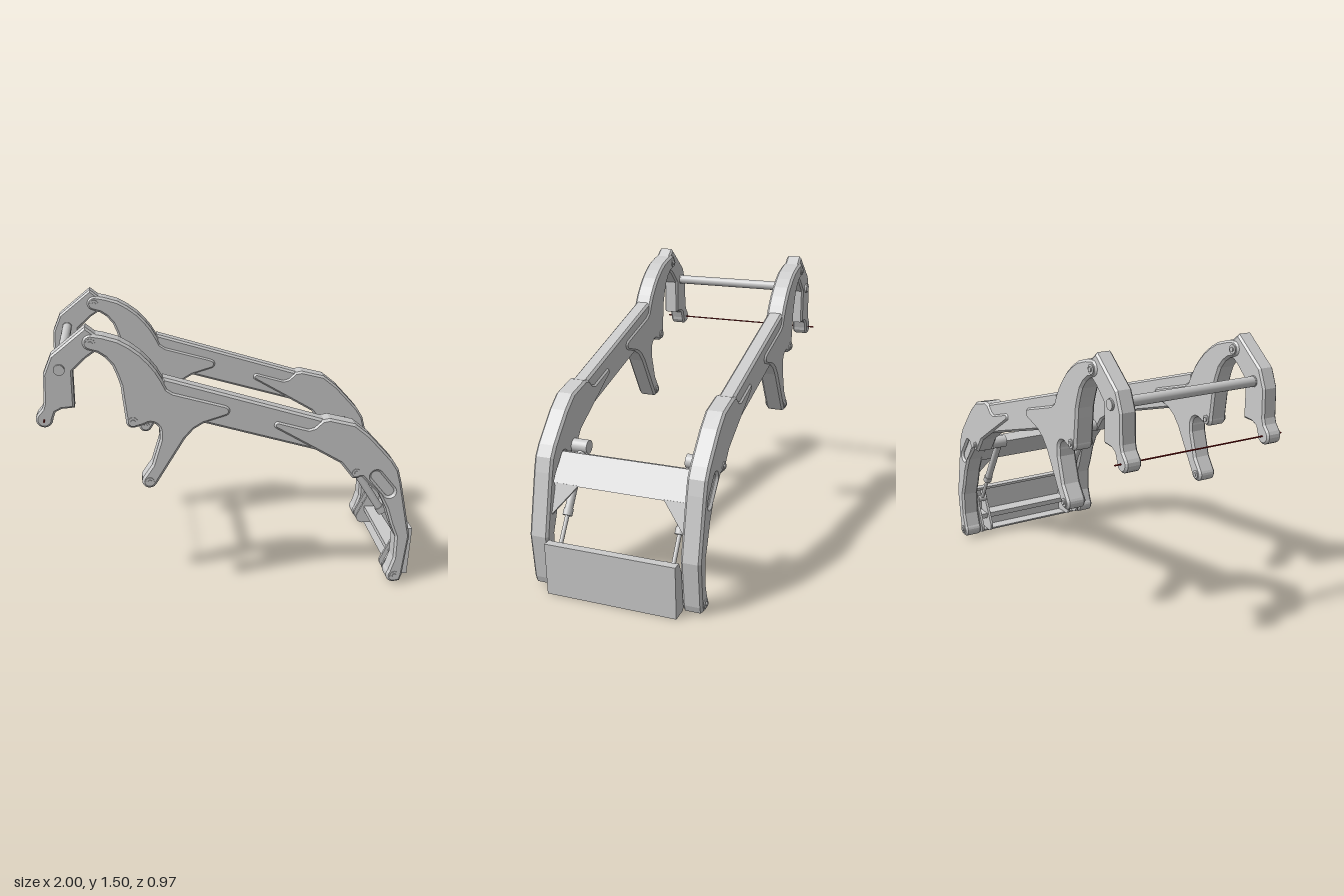
import * as THREE from 'three';

const grey = new THREE.MeshStandardMaterial({ color: 0xcccccc });
const red = new THREE.MeshStandardMaterial({ color: 0x8b1010 });
const ARM_Z = 0.408; // mid-plane of each side arm

// Outline entries are [x, y] corners or [cx, cy, r, startDeg, endDeg] arcs
function outline(entries) {
  const pts = [];
  for (const e of entries) {
    if (e.length === 2) { pts.push(new THREE.Vector2(e[0], e[1])); continue; }
    const [cx, cy, r, a0, a1] = e;
    for (let i = 0; i <= 10; i++) {
      const a = THREE.MathUtils.degToRad(a0 + (a1 - a0) * i / 10);
      pts.push(new THREE.Vector2(cx + r * Math.cos(a), cy + r * Math.sin(a)));
    }
  }
  return pts;
}

// Chamfered plate spanning z0..z1, keeping the outline as its outer size
function plate(name, entries, z0, z1, bevel = 0, hole = null) {
  const shape = new THREE.Shape(outline(entries));
  if (hole) shape.holes.push(new THREE.Path(outline(hole)));
  const geo = new THREE.ExtrudeGeometry(shape, {
    depth: z1 - z0 - 2 * bevel, bevelEnabled: bevel > 0, bevelSegments: 1,
    bevelSize: bevel, bevelThickness: bevel, bevelOffset: -bevel,
  });
  geo.translate(0, 0, z0 + bevel);
  const mesh = new THREE.Mesh(geo, grey);
  mesh.name = name;
  return mesh;
}

// Round bar between two points
function bar(name, a, b, r, material = grey, sides = 24) {
  const p = new THREE.Vector3(...a), q = new THREE.Vector3(...b);
  const mesh = new THREE.Mesh(new THREE.CylinderGeometry(r, r, p.distanceTo(q), sides), material);
  mesh.position.copy(p).lerp(q, 0.5);
  mesh.quaternion.setFromUnitVectors(new THREE.Vector3(0, 1, 0), q.sub(p).normalize());
  mesh.name = name;
  return mesh;
}

const MOUNT = [
  [-0.735, 1.5], [-0.685, 1.46], [-0.69, 1.375], [-0.735, 1.345], [-0.805, 1.28], [-0.805, 1.09],
  [-0.87, 1.085], [-0.9, 1.07], [-0.957, 1.033, 0.043, 0, -220], [-0.965, 1.09],
  [-0.955, 1.12], [-0.95, 1.265], [-0.91, 1.36],
];

const REAR_BRACKET = [
  [-0.713, 1.423, 0.042, 260, 75], [-0.655, 1.455], [-0.58, 1.432], [-0.525, 1.4], [-0.473, 1.36],
  [-0.43, 1.315], [-0.395, 1.27], [-0.366, 1.22], [-0.345, 1.175], [-0.315, 1.155],
  [-0.06, 1.081], [-0.058, 1.048, 0.03, 70, -75], [-0.165, 0.985], [-0.215, 0.955], [-0.26, 0.905],
  [-0.445, 0.68, 0.039, -35, -215], [-0.43, 0.77], [-0.388, 0.905],
  [-0.435, 0.95, 0.048, -10, 100], [-0.473, 0.985], [-0.52, 1.01, 0.036, -80, -190],
  [-0.57, 1.147], [-0.575, 1.2], [-0.592, 1.254], [-0.612, 1.305], [-0.645, 1.345], [-0.68, 1.37],
];

const FRONT_BRACKET = [
  [0.215, 0.96, 0.022, 230, 75], [0.375, 0.935], [0.405, 0.942], [0.445, 0.978], [0.485, 0.985],
  [0.62, 0.95], [0.7, 0.885], [0.78, 0.797], [0.83, 0.74], [0.865, 0.685], [0.885, 0.61],
  [0.95, 0.29], [0.922, 0.05], [0.91, 0.015], [0.877, 0.055, 0.044, -70, -220],
  [0.868, 0.16], [0.87, 0.29], [0.84, 0.365], [0.81, 0.46], [0.765, 0.55], [0.67, 0.65],
  [0.635, 0.68, 0.037, -50, -120], [0.55, 0.735], [0.425, 0.81],
];

const BEAM = [[-0.366, 1.232], [0.5, 0.965], [0.56, 0.85], [0.425, 0.81], [-0.2, 0.995], [-0.4, 1.06]];

// Slanted rounded slot in the front bracket
function slot() {
  const a = -51, c = Math.cos(a * Math.PI / 180), s = Math.sin(a * Math.PI / 180);
  const end = (k, from) => [0.783 + k * 0.06 * c, 0.607 + k * 0.06 * s, 0.027, a + from, a + from + 180];
  return [end(1, -90), end(-1, 90)];
}

function sideArm(side) {
  const g = new THREE.Group();
  g.name = side > 0 ? 'frontSideArm' : 'backSideArm';
  g.add(plate('rearMount', MOUNT, -0.043, 0.043, 0.01));
  g.add(plate('rearBracket', REAR_BRACKET, -0.052, 0.052, 0.012));
  g.add(plate('mainBeam', BEAM, -0.043, 0.043, 0.012));
  // Front bracket: solid core with slotted cheeks on both faces
  g.add(plate('frontBracketCore', FRONT_BRACKET, -0.037, 0.037));
  g.add(plate('frontBracketCheek', FRONT_BRACKET, 0.012, 0.052, 0.012, slot()));
  g.add(plate('frontBracketCheek', FRONT_BRACKET, -0.052, -0.012, 0.012, slot()));
  // Pivot pins: wide washer and smaller head
  for (const [x, y, r] of [[-0.713, 1.42, 0.024], [-0.445, 0.68, 0.022], [-0.52, 1.01, 0.024],
    [0.635, 0.68, 0.022], [0.877, 0.055, 0.024]]) {
    g.add(bar('pivotWasher', [x, y, -0.057], [x, y, 0.057], r));
    g.add(bar('pivotPin', [x, y, -0.063], [x, y, 0.063], r * 0.5));
  }
  g.add(bar('tubeCollar', [-0.87, 1.29, -0.05], [-0.87, 1.29, 0.05], 0.028));
  g.position.z = side * ARM_Z;
  return g;
}

// Tilt cylinder with barrel, gland and rod
function tiltCylinder(side) {
  const g = new THREE.Group();
  g.name = 'tiltCylinder';
  const z = side * 0.306;
  const at = t => [0.635 + 0.29 * t, 0.68 - 0.46 * t, z];
  g.add(bar('cylinderEye', [0.635, 0.68, side * 0.27], [0.635, 0.68, side * 0.36], 0.036));
  g.add(bar('cylinderBarrel', at(0), at(0.6), 0.021));
  g.add(bar('cylinderGland', at(0.6), at(0.67), 0.025));
  g.add(bar('cylinderRod', at(0.6), at(1.02), 0.011));
  g.add(bar('rodEye', [0.925, 0.22, z - 0.025], [0.925, 0.22, z + 0.025], 0.02));
  return g;
}

function toolCarrier() {
  const g = new THREE.Group();
  g.name = 'toolCarrier';
  const W = 0.35;
  g.add(plate('carrierFace', [[0.98, 0.28], [0.996, 0.28], [0.982, 0], [0.966, 0]], -W, W));
  g.add(plate('carrierTopLip', [[0.95, 0.28], [0.99, 0.28], [0.99, 0.265], [0.95, 0.265]], -W, W));
  g.add(plate('carrierFloor', [[0.885, 0.02], [0.975, 0.015], [0.975, 0], [0.9, 0.003]], -W, W));
  g.add(plate('carrierRail', [[0.885, 0.125], [0.98, 0.125], [0.98, 0.095], [0.885, 0.095]], -W, W));
  const cheek = [[0.945, 0.28], [0.993, 0.28], [0.979, 0.001], [0.91, 0.004],
    [0.877, 0.055, 0.04, -65, -200], [0.885, 0.16]];
  for (const z of [-W, -0.29, 0.275, W - 0.015]) g.add(plate('carrierCheek', cheek, z, z + 0.015));
  return g;
}

export function createModel() {
  const model = new THREE.Group();
  model.name = 'loaderFrame';
  for (const side of [1, -1]) model.add(sideArm(side), tiltCylinder(side));

  // Rear cross tube and hinge axis line
  model.add(bar('rearCrossTube', [-0.87, 1.29, -0.462], [-0.87, 1.29, 0.462], 0.026));
  model.add(bar('hingeAxis', [-0.957, 1.033, -0.485], [-0.957, 1.033, 0.485], 0.004, red, 8));

  // Front cross beam, tilted box section with corner gussets
  model.add(plate('crossBeam', [[0.68, 0.66], [0.75, 0.685], [0.845, 0.545], [0.775, 0.53]], -0.37, 0.37));
  for (const side of [1, -1]) {
    const shape = new THREE.Shape(outline([[side * 0.23, 0], [side * 0.365, 0], [side * 0.365, -0.17]]));
    const geo = new THREE.ExtrudeGeometry(shape, { depth: 0.015, bevelEnabled: false });
    geo.translate(0, 0, -0.015).rotateY(Math.PI / 2).rotateZ(0.33);
    const gusset = new THREE.Mesh(geo, grey);
    gusset.name = 'cornerGusset';
    gusset.position.set(0.845, 0.55, 0);
    model.add(gusset);
  }

  model.add(toolCarrier());
  return model;
}
